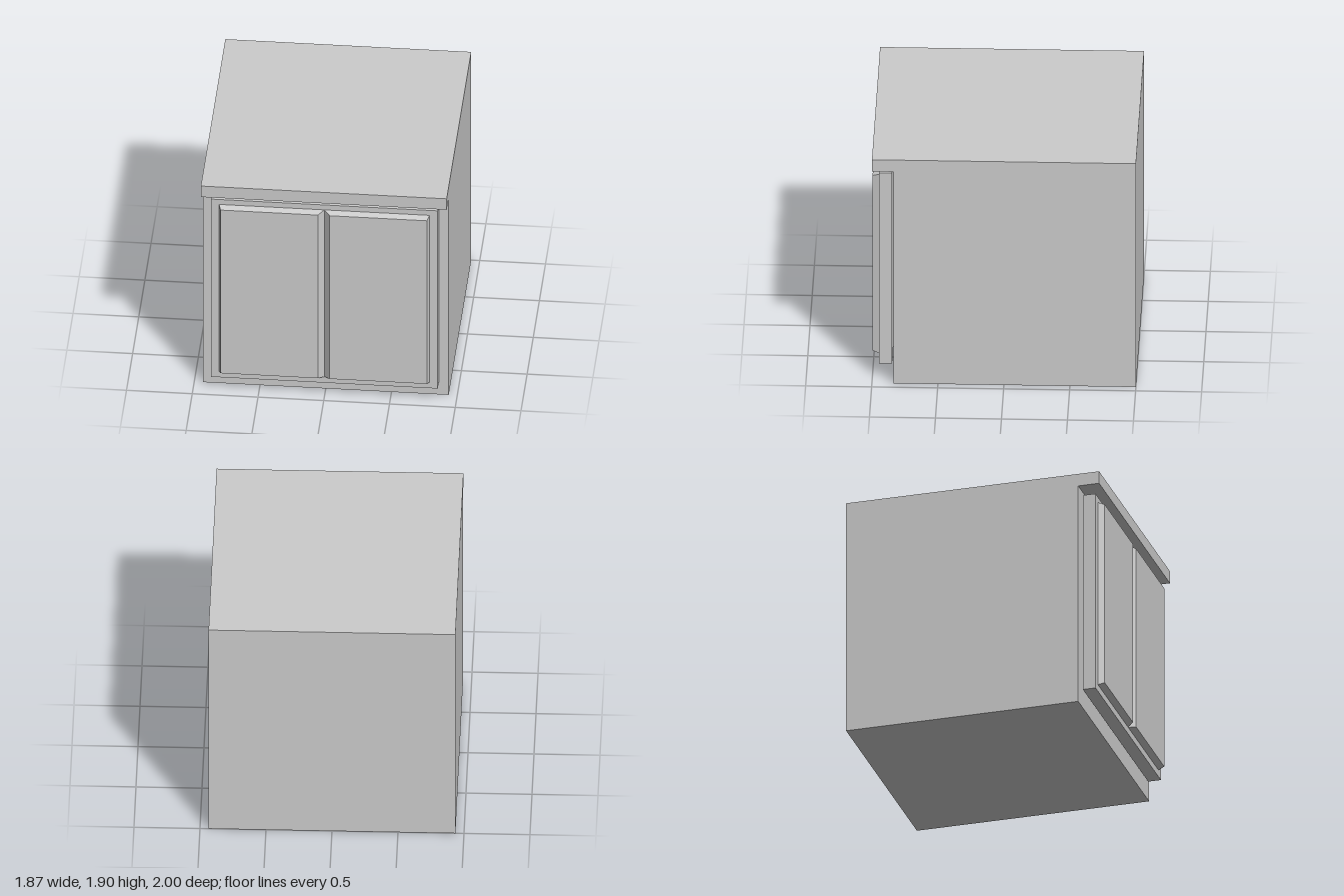
import * as THREE from 'three';

const material = new THREE.MeshStandardMaterial({ color: 0xcccccc, flatShading: true });

function addMesh(parent, name, geometry) {
  const mesh = new THREE.Mesh(geometry, material);
  mesh.name = name;
  parent.add(mesh);
  return mesh;
}

// Box whose front face is inset to a smaller rectangle; rectangles are [x0, x1, y0, y1]
function bevelledPanel(base, face, z0, z1) {
  const geometry = new THREE.BoxGeometry(1, 1, 1);
  const p = geometry.attributes.position;
  for (let i = 0; i < p.count; i++) {
    const front = p.getZ(i) > 0;
    const r = front ? face : base;
    p.setXYZ(i, r[p.getX(i) > 0 ? 1 : 0], r[p.getY(i) > 0 ? 3 : 2], front ? z1 : z0);
  }
  geometry.computeVertexNormals();
  return geometry;
}

export function createModel() {
  const model = new THREE.Group();
  model.name = 'cabinet';

  // Carcass and overhanging worktop: one side profile swept across the width
  const width = 1.87;
  const profile = [[-1, 0], [0.835, 0], [0.835, 1.8], [1, 1.8], [1, 1.9], [-1, 1.9]];
  const shape = new THREE.Shape(profile.map(([z, y]) => new THREE.Vector2(-z, y)));
  const body = new THREE.ExtrudeGeometry(shape, { depth: width, bevelEnabled: false });
  body.rotateY(Math.PI / 2).translate(-width / 2, 0, 0);
  addMesh(model, 'cabinetBody', body);

  // Door slab standing just clear of the front
  const doors = new THREE.Group();
  doors.name = 'doors';
  model.add(doors);
  addMesh(doors, 'doorSlab', new THREE.BoxGeometry(1.724, 1.622, 0.1))
    .position.set(0, 0.941, 0.9);

  // Two raised panels, with a wide slope toward the centre line
  const y = [0.185, 1.707], yFace = [0.201, 1.69];
  addMesh(doors, 'leftPanel',
    bevelledPanel([0, 0.8, ...y], [0.045, 0.785, ...yFace], 0.95, 1));
  addMesh(doors, 'rightPanel',
    bevelledPanel([-0.8, 0, ...y], [-0.785, -0.045, ...yFace], 0.95, 1));

  return model;
}
